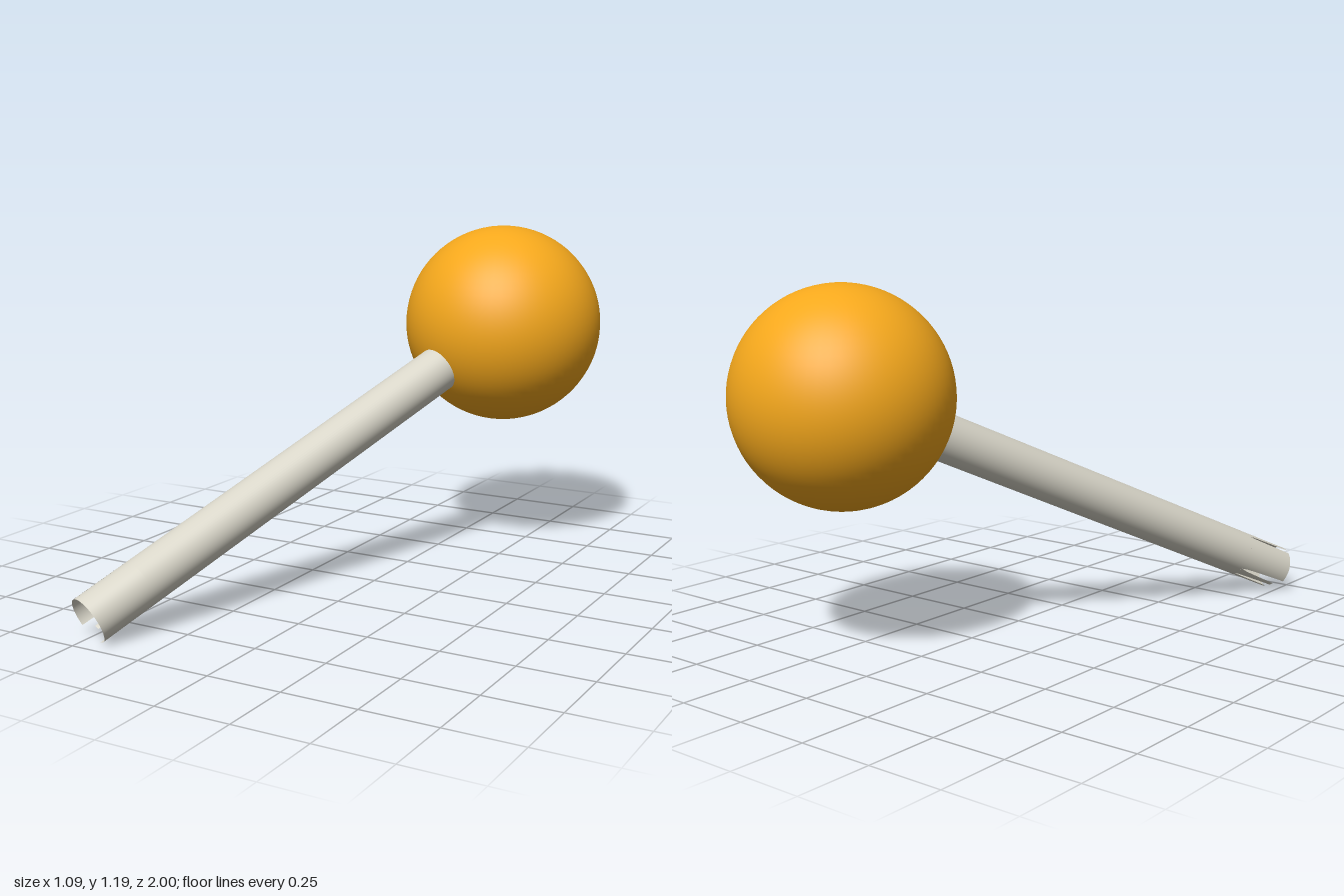
import * as THREE from 'three';
import { ParametricGeometry } from 'three/addons/geometries/ParametricGeometry.js';

const RADIUS = 0.08;
const DEG = Math.PI / 180;

export function createModel() {
  const model = new THREE.Group();
  model.name = 'ballOnSlottedTube';

  const ballCentre = new THREE.Vector3(0.185, 0.842, -0.645);
  const tipCentre = new THREE.Vector3(-0.47, 0.077, 0.958);
  const length = ballCentre.distanceTo(tipCentre);

  // Ball
  const ball = new THREE.Mesh(
    new THREE.SphereGeometry(0.355, 64, 40),
    new THREE.MeshStandardMaterial({ color: 0xf5a81c })
  );
  ball.name = 'ball';
  ball.position.copy(ballCentre);
  model.add(ball);

  // Tube frame: local z runs from the ball centre to the open tip
  const zAxis = tipCentre.clone().sub(ballCentre).normalize();
  const xAxis = new THREE.Vector3(1, 0, 0).addScaledVector(zAxis, -zAxis.x).normalize();
  const yAxis = zAxis.clone().cross(xAxis);
  const tube = new THREE.Group();
  tube.name = 'tube';
  tube.quaternion.setFromRotationMatrix(new THREE.Matrix4().makeBasis(xAxis, yAxis, zAxis));
  tube.position.copy(ballCentre);
  model.add(tube);

  const material = new THREE.MeshStandardMaterial({ color: 0xd8d5c8, side: THREE.DoubleSide });

  // Curved wall panel; edges(t) gives its start and end angle, t = 0 to 1 along z
  const addPanel = (name, z0, z1, columns, rows, edges) => {
    const geometry = new ParametricGeometry((u, t, target) => {
      const [from, to] = edges(t);
      const angle = (from + (to - from) * u) * DEG;
      target.set(RADIUS * Math.cos(angle), RADIUS * Math.sin(angle), z0 + (z1 - z0) * t);
    }, columns, rows);
    const mesh = new THREE.Mesh(geometry, material);
    mesh.name = name;
    tube.add(mesh);
  };

  // Plain tube wall, open at both ends
  const slotStart = length - 0.2;
  addPanel('tubeWall', 0.3, slotStart, 64, 1, () => [0, 360]);

  // Fingers between the tapered slots: slot angle, half width at the tip
  const slots = [[127, 6], [228, 9], [256, 8], [286, 4]];
  slots.forEach(([start, startWidth], i) => {
    const last = i === slots.length - 1;
    const [next, endWidth] = slots[(i + 1) % slots.length];
    const end = next + (last ? 360 : 0);
    const narrow = end - start < 40;
    const tip = length - (narrow ? 0.03 : 0);
    addPanel('tipFinger', slotStart, tip, narrow ? 8 : 32, 8, (t) => {
      const open = Math.sqrt(t);
      return [start + startWidth * open, end - endWidth * open];
    });
  });

  return model;
}
